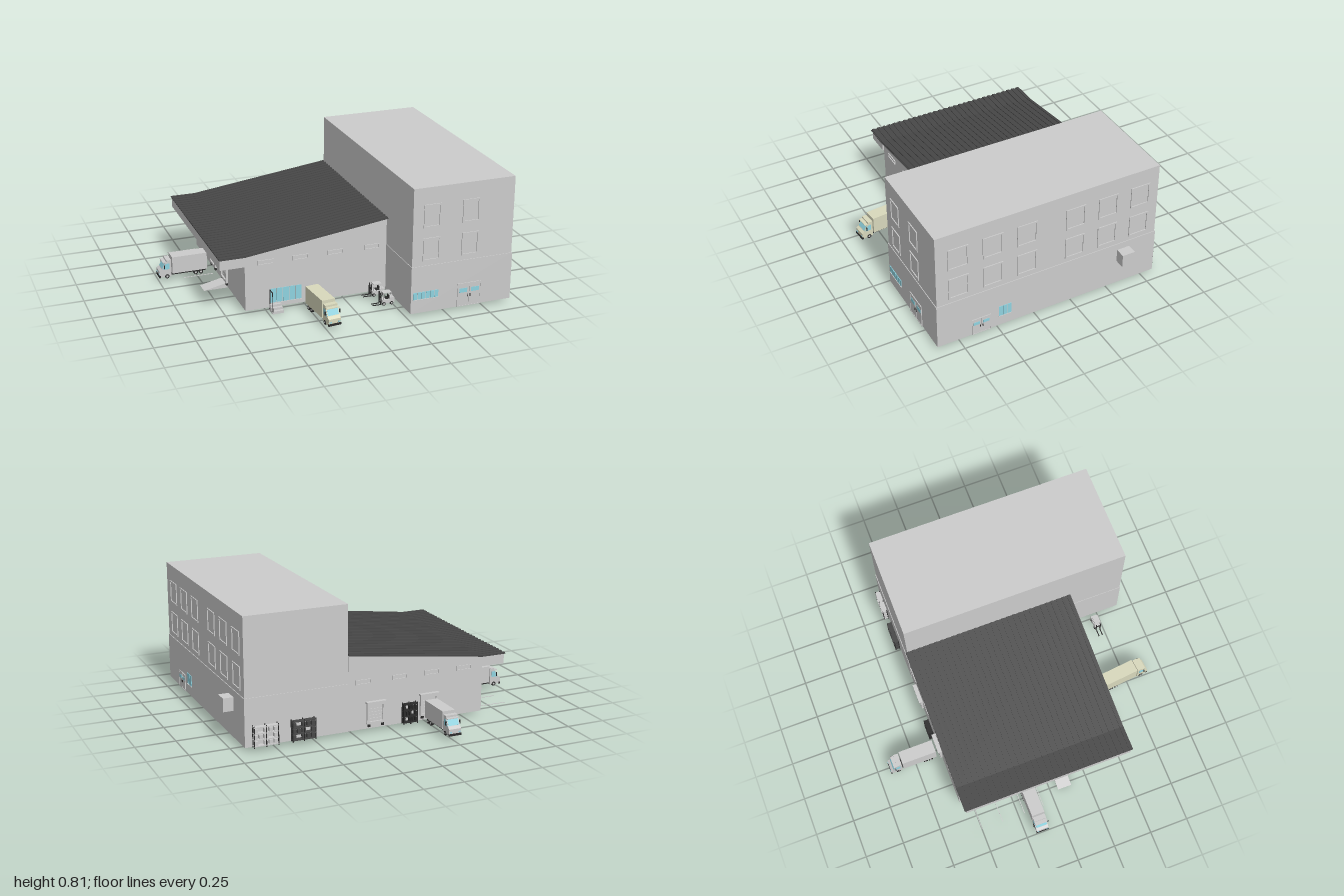
import * as THREE from 'three';

const mat = (color) => new THREE.MeshStandardMaterial({ color, flatShading: true });
const GREY = mat(0xcccccc), DARK = mat(0x484848), BLACK = mat(0x2c2c2c);
const GLASS = mat(0x8fd3e0), CREAM = mat(0xd8d8bc);
const G = 0.02; // ground level

function mesh(parent, name, geo, material) {
  const m = new THREE.Mesh(geo, material);
  m.name = name;
  parent.add(m);
  return m;
}

// Box given by its min and max on each axis
function box(parent, name, x0, x1, y0, y1, z0, z1, material = GREY) {
  const m = mesh(parent, name, new THREE.BoxGeometry(x1 - x0, y1 - y0, z1 - z0), material);
  m.position.set((x0 + x1) / 2, (y0 + y1) / 2, (z0 + z1) / 2);
  return m;
}

function group(parent, name, x, y, z, rotY = 0) {
  const g = new THREE.Group();
  g.name = name;
  g.position.set(x, y, z);
  g.rotation.y = rotY;
  parent.add(g);
  return g;
}

// Outline in (x, y), extruded along z and centred on z = 0
function prism(parent, name, pts, depth, material = GREY) {
  const shape = new THREE.Shape(pts.map(([x, y]) => new THREE.Vector2(x, y)));
  const geo = new THREE.ExtrudeGeometry(shape, { depth, bevelEnabled: false });
  return mesh(parent, name, geo.translate(0, 0, -depth / 2), material);
}

// Rectangular frame facing +z, standing on the local origin
function frame(parent, name, w, h, t, depth, material = GREY) {
  const rect = (s, x, y0, y1) => s.moveTo(-x, y0).lineTo(x, y0).lineTo(x, y1).lineTo(-x, y1).closePath();
  const shape = rect(new THREE.Shape(), w / 2, 0, h);
  shape.holes.push(rect(new THREE.Path(), w / 2 - t, t, h - t));
  return mesh(parent, name, new THREE.ExtrudeGeometry(shape, { depth, bevelEnabled: false }), material);
}

function doubleDoor(parent, x, z, rotY, w, h) {
  const g = group(parent, 'doubleDoor', x, G, z, rotY);
  frame(g, 'doorFrame', w, h, 0.004, 0.005);
  for (const s of [-1, 1]) {
    const c = s * w / 4;
    box(g, 'doorLeaf', c - w / 4 + 0.002, c + w / 4 - 0.002, 0, h - 0.004, 0, 0.003);
    box(g, 'doorGlass', c - w / 6, c + w / 6, h * 0.6, h * 0.78, 0, 0.005, GLASS);
    box(g, 'doorHandle', s * 0.008 - 0.002, s * 0.008 + 0.002, h * 0.4, h * 0.52, 0, 0.007, BLACK);
  }
}

function glazing(parent, x, y, z, rotY, w, h, n) {
  const g = group(parent, 'glazing', x, y, z, rotY);
  for (let i = 0; i < n; i++) {
    const a = -w / 2 + i * w / n;
    box(g, 'pane', a + 0.002, a + w / n - 0.002, 0, h, 0, 0.004, GLASS);
  }
  box(g, 'sill', -w / 2, w / 2, -0.006, -0.001, 0, 0.007);
}

// Loading dock with rubber surround, slatted shutter and small hood
function dock(parent, x, z, rotY) {
  const g = group(parent, 'loadingDock', x, G + 0.03, z, rotY);
  frame(g, 'dockSurround', 0.12, 0.13, 0.014, 0.014);
  for (let i = 0; i < 5; i++) box(g, 'shutterSlat', -0.046, 0.046, 0.015 + i * 0.02, 0.033 + i * 0.02, 0, 0.004);
  box(g, 'dockHood', -0.065, 0.065, 0.13, 0.142, 0, 0.025);
  for (const s of [-1, 1]) box(g, 'dockBumper', s * 0.045 - 0.008, s * 0.045 + 0.008, -0.018, 0, 0, 0.012, BLACK);
}

function shelf(parent, x0, x1, material) {
  const g = group(parent, 'storageRack', 0, G, 0);
  for (let i = 0; i < 4; i++) box(g, 'rackShelf', x0, x1, 0.008 + i * 0.038, 0.014 + i * 0.038, -0.612, -0.58, material);
  for (let i = 0; i < 3; i++) {
    const x = x0 + (x1 - x0 - 0.005) * i / 2;
    for (const z of [-0.612, -0.585]) box(g, 'rackPost', x, x + 0.005, 0, 0.135, z, z + 0.005, BLACK);
  }
  const n = 5, w = (x1 - x0) / n;
  for (let r = 0; r < 3; r++) for (let i = 0; i < n; i++) {
    if ((i + r * 2) % 4 === 3) continue;
    const x = x0 + i * w;
    box(g, 'crate', x + 0.004, x + w - 0.004, 0.014 + r * 0.038, 0.038 + r * 0.038, -0.606, -0.584, material);
  }
}

function wheel(parent, x, y, z, r, w) {
  const m = mesh(parent, 'wheel', new THREE.CylinderGeometry(r, r, w, 14).rotateZ(Math.PI / 2), BLACK);
  m.position.set(x, y, z);
  const hub = mesh(parent, 'wheelHub', new THREE.CylinderGeometry(r * 0.5, r * 0.5, w + 0.002, 10).rotateZ(Math.PI / 2), GREY);
  hub.position.copy(m.position);
}

// Truck with its tail at the local origin, driving along +z
function truck(parent, x, z, rotY, paint) {
  const g = group(parent, 'truck', x, G, z, rotY);
  box(g, 'cargoBox', -0.042, 0.042, 0.028, 0.138, 0, 0.225, paint);
  box(g, 'chassis', -0.03, 0.03, 0.016, 0.028, 0.005, 0.29, BLACK);
  const cab = prism(g, 'cab', [[-0.232, 0.012], [-0.232, 0.108], [-0.268, 0.108], [-0.292, 0.062], [-0.308, 0.05], [-0.308, 0.012]], 0.08, paint);
  cab.rotation.y = Math.PI / 2;
  const side = prism(g, 'sideWindows', [[-0.244, 0.062], [-0.244, 0.1], [-0.266, 0.1], [-0.286, 0.062]], 0.083, GLASS);
  side.rotation.y = Math.PI / 2;
  const screen = box(g, 'windscreen', -0.035, 0.035, 0.064, 0.104, 0.279, 0.282, GLASS);
  screen.rotation.x = -0.48;
  box(g, 'windDeflector', -0.04, 0.04, 0.108, 0.122, 0.232, 0.262, paint);
  box(g, 'sunVisor', -0.04, 0.04, 0.106, 0.11, 0.262, 0.285, paint);
  box(g, 'bumper', -0.041, 0.041, 0.008, 0.022, 0.3, 0.311, BLACK);
  for (const s of [-1, 1]) {
    for (const wz of [0.04, 0.075, 0.26]) wheel(g, s * 0.034, 0.014, wz, 0.014, 0.016);
    box(g, 'headlight', s * 0.028 - 0.007, s * 0.028 + 0.007, 0.026, 0.034, 0.306, 0.31, GLASS);
    box(g, 'mirror', s * 0.046 - 0.004, s * 0.046 + 0.004, 0.068, 0.092, 0.275, 0.279, BLACK);
  }
}

// Forklift with its forks pointing to -x
function forklift(parent, x, z) {
  const g = group(parent, 'forklift', x, G, z);
  box(g, 'body', -0.025, 0.045, 0.012, 0.036, -0.02, 0.02);
  box(g, 'counterweight', 0.022, 0.052, 0.012, 0.046, -0.02, 0.02);
  box(g, 'seat', 0, 0.02, 0.036, 0.044, -0.012, 0.012, BLACK);
  box(g, 'seatBack', 0.016, 0.022, 0.044, 0.06, -0.012, 0.012, BLACK);
  box(g, 'overheadGuard', -0.02, 0.034, 0.078, 0.082, -0.02, 0.02);
  for (const s of [-1, 1]) {
    const c = s * 0.018;
    for (const px of [-0.02, 0.03]) box(g, 'guardPost', px, px + 0.004, 0.034, 0.078, c - 0.002, c + 0.002);
    box(g, 'mastRail', -0.036, -0.03, 0.004, 0.082, s * 0.014 - 0.003, s * 0.014 + 0.003, BLACK);
    box(g, 'fork', -0.085, -0.036, 0.004, 0.008, s * 0.012 - 0.003, s * 0.012 + 0.003, BLACK);
    for (const wx of [-0.016, 0.034]) {
      const holder = group(g, 'wheelMount', wx, 0.011, c, Math.PI / 2);
      wheel(holder, 0, 0, 0, 0.011, 0.008);
    }
  }
  box(g, 'mastCrossbar', -0.036, -0.03, 0.05, 0.056, -0.014, 0.014, BLACK);
}

export function createModel() {
  const root = new THREE.Group();
  root.name = 'warehouse';
  const H = Math.PI / 2;

  // Office tower: wider ground floor, upper block
  box(root, 'towerGroundFloor', 0.275, 0.935, G, 0.32, -0.578, 0.895);
  box(root, 'towerUpperFloors', 0.278, 0.931, 0.32, 0.81, -0.574, 0.891);

  // Warehouse hall with sloping top, and the canopy box on its left end
  const hall = prism(root, 'warehouseHall', [[-0.63, G], [0.276, G], [0.276, 0.494], [-0.63, 0.374]], 1.09);
  hall.position.z = -0.03;
  box(root, 'canopy', -0.785, -0.63, 0.31, 0.374, -0.575, 0.525);

  // Ribbed dark roof: flat over the canopy, sloping over the hall
  const roofLine = (up, t) => [[-0.79, 0.374 + up], [-0.63, 0.374 + up], [0.277, 0.494 + up],
    [0.277, 0.494 + up + t], [-0.63, 0.374 + up + t], [-0.79, 0.374 + up + t]];
  prism(root, 'roofSheet', roofLine(0.0005, 0.004), 1.12, DARK).position.z = -0.025;
  for (let i = 0; i < 30; i++) {
    prism(root, 'roofRib', roofLine(0.0045, 0.005), 0.018, DARK).position.z = -0.571 + i * 1.09 / 29;
  }

  // Tower window frames
  for (const y of [0.35, 0.56]) {
    for (const z of [0.75, 0.53, 0.31, -0.01, -0.23, -0.45]) {
      frame(group(root, 'sideWindow', 0.931, y, z, H), 'windowFrame', 0.13, 0.145, 0.01, 0.006);
    }
    for (const x of [0.4, 0.65]) {
      frame(group(root, 'frontWindow', x, y, 0.891), 'windowFrame', 0.11, 0.145, 0.01, 0.006);
    }
  }

  // High slit windows along both long walls of the hall
  for (const x of [-0.5, -0.28, -0.06, 0.18]) {
    frame(group(root, 'slitWindow', x, 0.305, 0.515), 'slitFrame', 0.1, 0.03, 0.005, 0.006);
    frame(group(root, 'slitWindow', x, 0.305, -0.575, Math.PI), 'slitFrame', 0.1, 0.03, 0.005, 0.006);
  }

  // Doors and glazing
  doubleDoor(root, 0.655, 0.895, 0, 0.155, 0.15);
  doubleDoor(root, 0.935, 0.61, H, 0.125, 0.112);
  glazing(root, 0.37, 0.11, 0.895, 0, 0.165, 0.045, 6);
  glazing(root, 0.935, 0.092, 0.455, H, 0.085, 0.07, 3);
  glazing(root, -0.375, 0.05, 0.515, 0, 0.2, 0.09, 5);

  // Air conditioner on the right wall
  box(root, 'airConditioner', 0.935, 1, 0.19, 0.275, -0.395, -0.31);
  frame(group(root, 'airConditionerGrille', 0.997, 0.19, -0.3525, H), 'grilleFrame', 0.085, 0.085, 0.006, 0.003);

  // Loading docks on the back and left walls
  dock(root, -0.26, -0.575, Math.PI);
  dock(root, 0.1, -0.575, Math.PI);
  dock(root, -0.63, -0.145, -H);
  dock(root, -0.63, 0.1, -H);

  // Ramp at the left wall, entrance steps with a handrail at the front
  prism(root, 'ramp', [[-0.78, 0.012], [-0.63, 0.012], [-0.63, 0.045]], 0.09).position.z = 0.095;
  for (let i = 0; i < 3; i++) {
    box(root, 'step', -0.48, -0.41, 0, 0.045 - i * 0.014, 0.51 + (i ? 0.01 + i * 0.018 : 0), 0.54 + i * 0.018);
  }
  for (const z of [0.52, 0.572]) box(root, 'handrailPost', -0.48, -0.476, 0.01, 0.14, z, z + 0.004, BLACK);
  box(root, 'handrail', -0.48, -0.476, 0.136, 0.14, 0.52, 0.576, BLACK);

  // Bay markings on the ground beside the left docks
  for (const z of [-0.5, -0.36, -0.21, -0.08]) box(root, 'bayMarking', -0.85, -0.66, 0.018, 0.021, z - 0.002, z + 0.002);

  // Storage racks along the back wall
  shelf(root, -0.17, -0.075, BLACK);
  shelf(root, 0.5, 0.65, DARK);
  shelf(root, 0.735, 0.89, GREY);

  // Vehicles
  truck(root, -0.69, -0.145, -H, GREY);
  truck(root, -0.26, -0.61, Math.PI, GREY);
  truck(root, -0.235, 0.585, 0.1, CREAM);
  forklift(root, 0.182, 0.575);
  forklift(root, 0.19, 0.71);
  return root;
}
